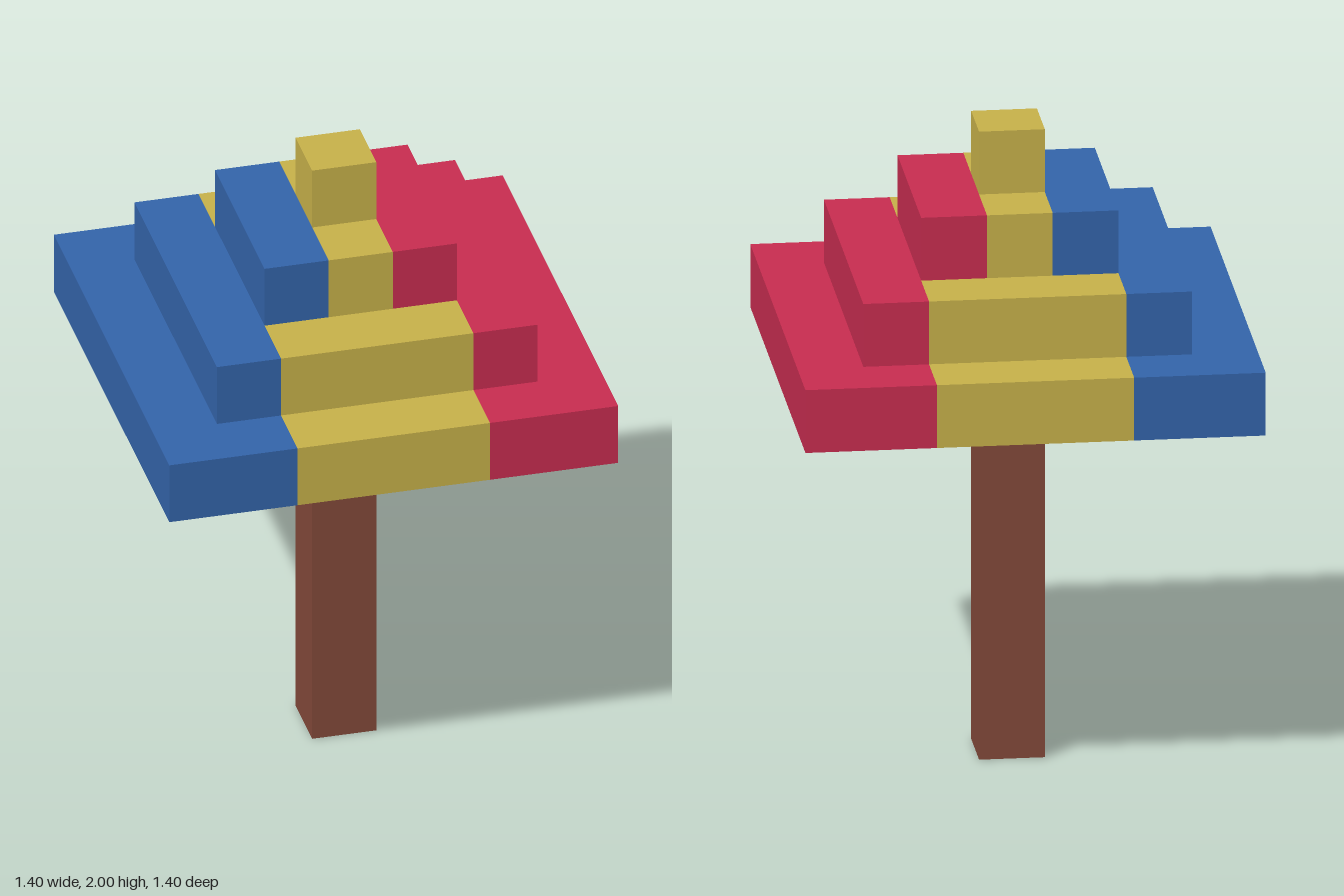
import * as THREE from 'three';

const mat = (name, color) => {
  const m = new THREE.MeshStandardMaterial({ color });
  m.name = name;
  return m;
};

export function createModel() {
  const blue = mat('blue', 0x3465ac);
  const yellow = mat('yellow', 0xc9b34b);
  const red = mat('red', 0xca2d51);
  const brown = mat('brown', 0x844a3a);

  const model = new THREE.Group();
  model.name = 'tieredTree';

  // Box spanning x0..x1 and y0..y1, centred on z = 0
  const addBox = (parent, name, material, x0, x1, y0, y1, depth) => {
    const mesh = new THREE.Mesh(new THREE.BoxGeometry(x1 - x0, y1 - y0, depth), material);
    mesh.position.set((x0 + x1) / 2, (y0 + y1) / 2, 0);
    mesh.name = name;
    parent.add(mesh);
  };

  addBox(model, 'trunk', brown, -0.1, 0.1, 0, 1.2, 0.2);

  // Stepped canopy: each square tier is split into three colour bands
  const tiers = [
    { name: 'lowerTier', half: 0.7, band: 0.3, y: 1.2 },
    { name: 'middleTier', half: 0.5, band: 0.3, y: 1.4 },
    { name: 'upperTier', half: 0.3, band: 0.1, y: 1.6 },
  ];
  for (const { name, half, band, y } of tiers) {
    const tier = new THREE.Group();
    tier.name = name;
    addBox(tier, 'rightBand', blue, -half, -band, y, y + 0.2, half * 2);
    addBox(tier, 'middleBand', yellow, -band, band, y, y + 0.2, half * 2);
    addBox(tier, 'leftBand', red, band, half, y, y + 0.2, half * 2);
    model.add(tier);
  }

  addBox(model, 'topBlock', yellow, -0.1, 0.1, 1.8, 2, 0.2);
  return model;
}
